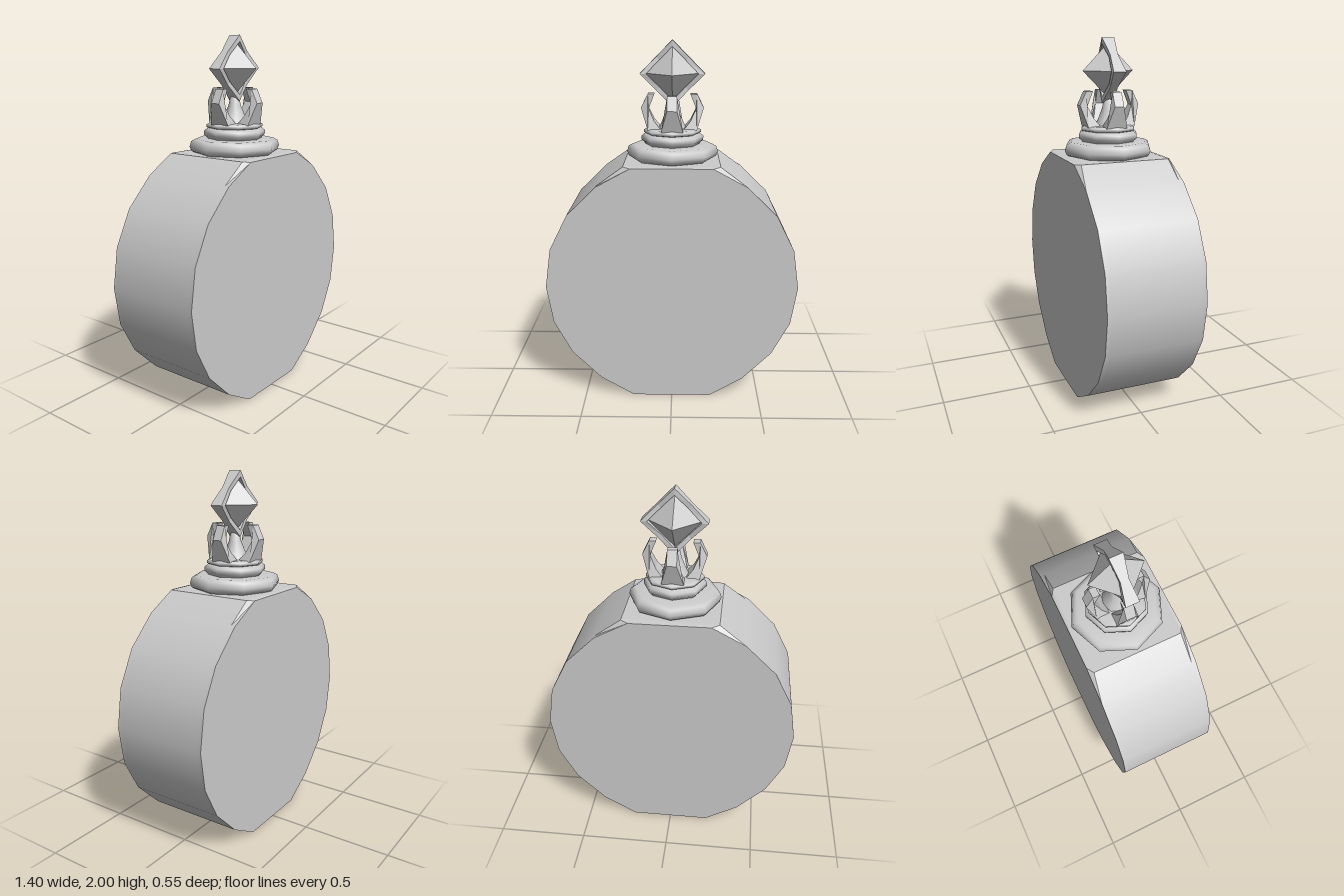
import * as THREE from 'three';
import { toCreasedNormals } from 'three/addons/utils/BufferGeometryUtils.js';

const material = new THREE.MeshStandardMaterial({ color: 0xcccccc });
const facetMaterial = new THREE.MeshStandardMaterial({ color: 0xcccccc, flatShading: true });

function add(parent, name, geometry, mat = material) {
  const mesh = new THREE.Mesh(geometry, mat);
  mesh.name = name;
  parent.add(mesh);
  return mesh;
}

// Apply rule(vertex) to every vertex of a geometry
function reshape(geometry, rule) {
  const p = geometry.attributes.position;
  const v = new THREE.Vector3();
  for (let i = 0; i < p.count; i++) {
    v.fromBufferAttribute(p, i);
    rule(v);
    p.setXYZ(i, v.x, v.y, v.z);
  }
  return geometry;
}

function polygon(points) {
  return new THREE.Shape(points.map(([x, y]) => new THREE.Vector2(x, y)));
}

// Round flask: twenty-sided disc, flat at top and bottom
function bodyGeometry() {
  const right = [[0.22, 0], [0.405, 0.11], [0.568, 0.275], [0.667, 0.465], [0.7, 0.68],
    [0.667, 0.9], [0.568, 1.095], [0.405, 1.255], [0.22, 1.355]];
  const left = right.map(([x, y]) => [-x, y]).reverse();
  const half = 0.275;
  const g = new THREE.ExtrudeGeometry(polygon([...right, ...left]),
    { depth: 2 * half, steps: 22, bevelEnabled: false });
  g.translate(0, 0, -half);
  // The flat top widens just behind each face
  reshape(g, (v) => {
    if (v.y > 1.3 && Math.abs(v.z) < half - 0.001) {
      v.x = Math.sign(v.x) * 0.26;
      v.y = 1.36;
    }
  });
  return toCreasedNormals(g, 0.6);
}

function lathe(points, sides) {
  return new THREE.LatheGeometry(points.map(([r, y]) => new THREE.Vector2(r, y)), sides);
}

// Bent prong in the x-y plane, wide at the foot
function clawGeometry() {
  const g = new THREE.ExtrudeGeometry(polygon([
    [0.06, 1.52], [0.135, 1.52], [0.172, 1.64], [0.135, 1.715], [0.098, 1.715], [0.13, 1.635], [0.1, 1.57],
  ]), { depth: 2, bevelEnabled: false });
  g.translate(0, 0, -1);
  reshape(g, (v) => {
    v.z *= THREE.MathUtils.lerp(0.06, 0.026, Math.min(1, (v.y - 1.52) / 0.115));
  });
  g.computeVertexNormals();
  return g;
}

// Square band around the crystal, broad at its corners
function frameGeometry() {
  const positions = [], index = [];
  for (let i = 0; i < 8; i++) {
    const a = i * Math.PI / 4;
    const corner = i % 2 === 0;
    const k = corner ? 1 : Math.SQRT1_2;
    const w = corner ? 0.036 : 0.022;
    for (const [r, z] of [[0.177, w], [0.177, -w], [0.142, -w], [0.142, w]]) {
      positions.push(Math.cos(a) * r * k, Math.sin(a) * r * k, z);
    }
    for (let j = 0; j < 4; j++) {
      const a0 = i * 4 + j, a1 = i * 4 + (j + 1) % 4;
      const b0 = ((i + 1) % 8) * 4 + j, b1 = ((i + 1) % 8) * 4 + (j + 1) % 4;
      index.push(a0, a1, b0, a1, b1, b0);
    }
  }
  const g = new THREE.BufferGeometry();
  g.setAttribute('position', new THREE.Float32BufferAttribute(positions, 3));
  g.setIndex(index);
  g.computeVertexNormals();
  return g;
}

export function createModel() {
  const model = new THREE.Group();
  model.name = 'flask';

  add(model, 'body', bodyGeometry());

  // Octagonal stacked rings of the neck
  add(model, 'collar', lathe([
    [0, 1.345], [0.22, 1.355], [0.245, 1.37], [0.255, 1.395], [0.245, 1.425], [0.22, 1.438], [0.15, 1.44],
  ], 8));
  add(model, 'neckRing', lathe([
    [0.15, 1.43], [0.155, 1.445], [0.172, 1.46], [0.172, 1.482], [0.155, 1.497], [0.14, 1.5],
  ], 8));
  add(model, 'upperRing', lathe([
    [0.14, 1.495], [0.158, 1.503], [0.158, 1.518], [0.14, 1.526], [0, 1.528],
  ], 8));

  // Post that carries the crystal
  add(model, 'post', lathe([[0.08, 1.52], [0.06, 1.56], [0.035, 1.62], [0.022, 1.68], [0, 1.69]], 8));

  // Four prongs around the post
  const claw = clawGeometry();
  for (let i = 0; i < 4; i++) {
    add(model, 'claw' + (i + 1), claw, facetMaterial).rotation.y = i * Math.PI / 2;
  }

  // Crystal stopper with its frame
  const stopper = new THREE.Group();
  stopper.name = 'stopper';
  stopper.position.y = 1.823;
  add(stopper, 'crystal', new THREE.OctahedronGeometry(0.147), facetMaterial);
  add(stopper, 'crystalFrame', frameGeometry(), facetMaterial);
  model.add(stopper);

  return model;
}
